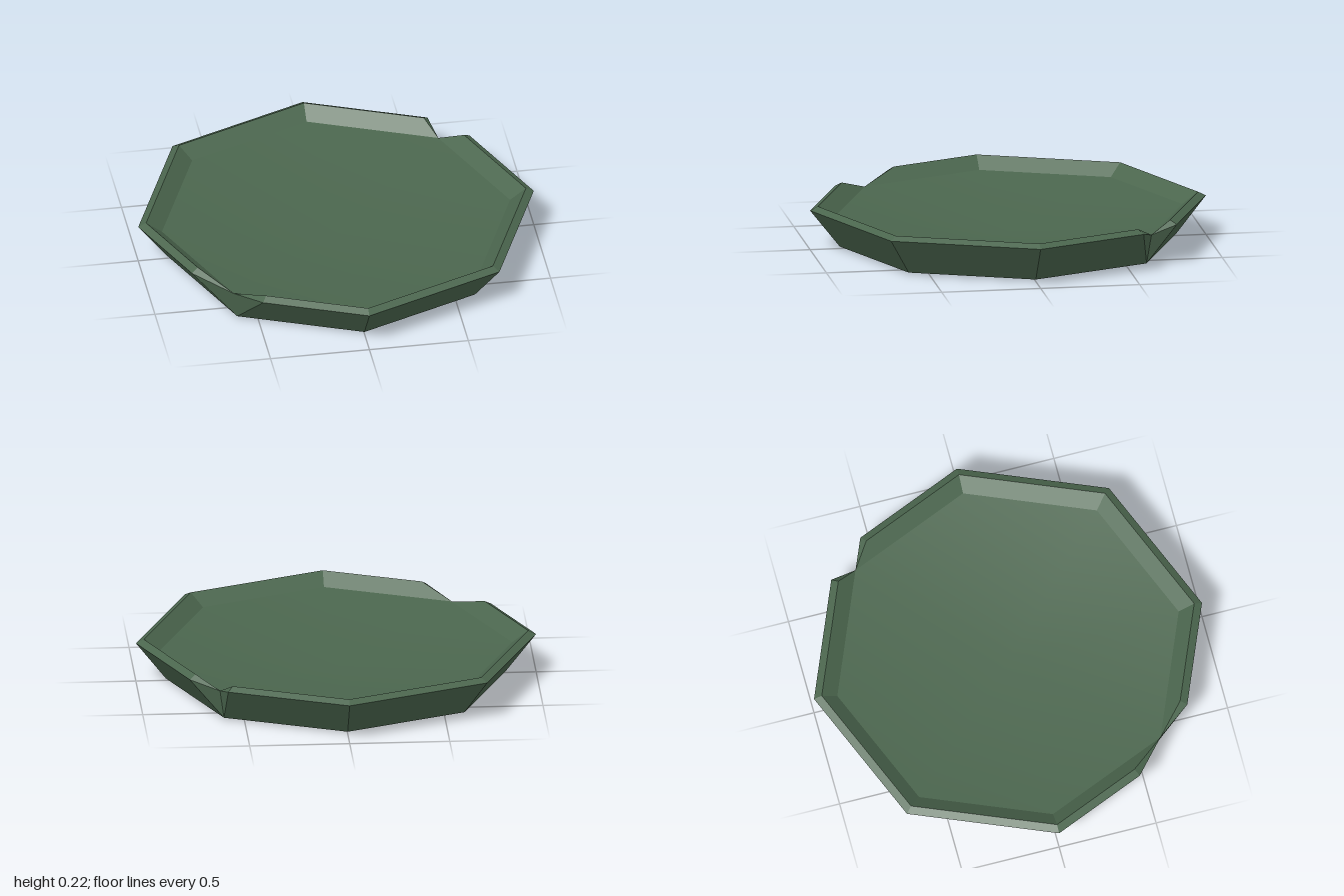
import * as THREE from 'three';
import { mergeVertices } from 'three/addons/utils/BufferGeometryUtils.js';

const SIDES = 8;
// Profile from the underside centre, out over the rim and down to the sunken floor centre: [radius, y]
const PROFILE = [[0, 0], [0.85, 0.01], [1, 0.2], [0.96, 0.22], [0.88, 0.16], [0, 0.05]];
const BAND_NAMES = ['underside', 'outerWall', 'rim', 'innerWall', 'floor'];
// Chipped corners: share of the rim edge broken off before and after the corner
const CHIPS = { 3: { before: 0.29, after: 0.34 }, 7: { before: 0.166, after: 0.21 } };

function corner(k, [radius, y]) {
  const a = (k / SIDES) * Math.PI * 2;
  return new THREE.Vector3(Math.cos(a) * radius, y, Math.sin(a) * radius);
}

// Profile points at one end of a side; only the two rim rows are cut back by a chip
function chain(k, neighbour, cut) {
  return PROFILE.map((p, row) => {
    const point = corner(k, p);
    return row === 2 || row === 3 ? point.lerp(corner(neighbour, p), cut) : point;
  });
}

// Mesh from a list of triangles, flat-sided unless smooth
function faceMesh(name, triangles, material, smooth = false) {
  let geometry = new THREE.BufferGeometry().setFromPoints(triangles.flat());
  if (smooth) geometry = mergeVertices(geometry);
  geometry.computeVertexNormals();
  const mesh = new THREE.Mesh(geometry, material);
  mesh.name = name;
  return mesh;
}

export function createModel() {
  const group = new THREE.Group();
  group.name = 'chippedPlate';
  const green = new THREE.MeshStandardMaterial({ color: 0x4b664e });
  green.name = 'mossGreen';

  const bands = BAND_NAMES.map(() => []);
  const chips = [];
  for (let k = 0; k < SIDES; k++) {
    const next = (k + 1) % SIDES;
    const a = chain(k, next, CHIPS[k]?.after ?? 0);
    const b = chain(next, k, CHIPS[next]?.before ?? 0);
    bands.forEach((triangles, i) => {
      if (i < bands.length - 1) triangles.push([a[i], a[i + 1], b[i + 1]]);
      else triangles.push([a[i], a[i + 1], b[i]]);
      if (i > 0 && i < bands.length - 1) triangles.push([a[i], b[i + 1], b[i]]);
    });
    // Broken faces that close the rim beside a chip
    if (CHIPS[k]) chips.push([a[1], a[4], a[2]], [a[2], a[4], a[3]]);
    if (CHIPS[next]) chips.push([b[1], b[2], b[4]], [b[2], b[3], b[4]]);
  }

  bands.forEach((triangles, i) => {
    group.add(faceMesh(BAND_NAMES[i], triangles, green, BAND_NAMES[i] === 'floor'));
  });
  group.add(faceMesh('chipFaces', chips, green));
  return group;
}
